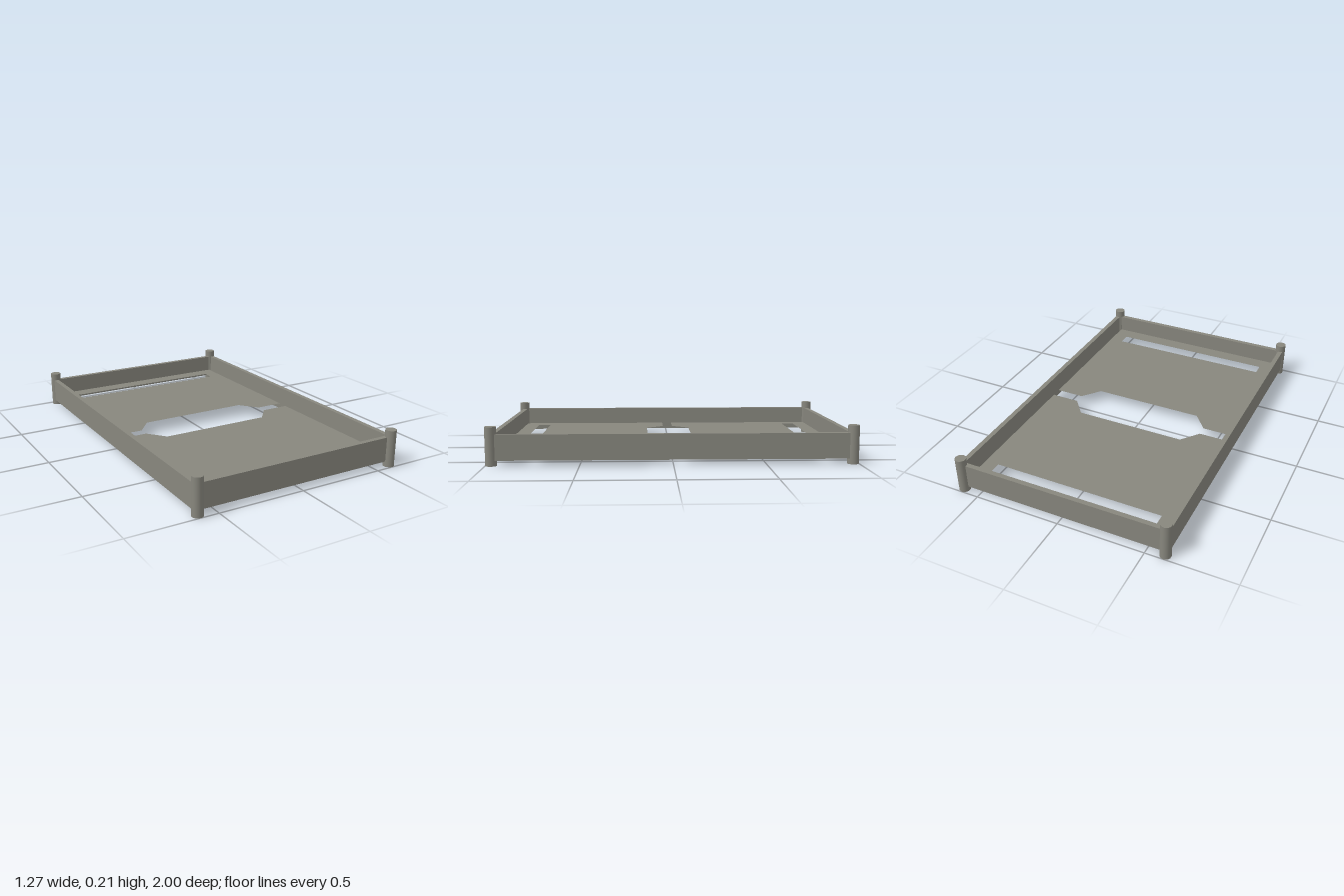
import * as THREE from 'three';

const W = 0.602; // post centre in x
const L = 0.969; // post centre in z
const metal = new THREE.MeshStandardMaterial({ color: 0x87867d, side: THREE.DoubleSide });
metal.name = 'warm grey metal';

function add(group, name, geometry, x, y, z) {
  const mesh = new THREE.Mesh(geometry, metal);
  mesh.name = name;
  mesh.position.set(x, y, z);
  group.add(mesh);
  return mesh;
}

// Half floor of thin sheet: notched towards the middle, slotted near the end wall
function floorGeometry() {
  const s = new THREE.Shape();
  [[-0.583, 0.03], [-0.415, 0.03], [-0.33, 0.135], [0.33, 0.135], [0.415, 0.03],
    [0.583, 0.03], [0.583, 0.945], [-0.583, 0.945]]
    .forEach(([x, y], i) => (i ? s.lineTo(x, y) : s.moveTo(x, y)));
  s.closePath();
  const slot = new THREE.Path();
  slot.moveTo(-0.5, 0.784);
  slot.lineTo(-0.5, 0.858);
  slot.lineTo(0.5, 0.858);
  slot.lineTo(0.5, 0.784);
  slot.closePath();
  s.holes.push(slot);
  return new THREE.ShapeGeometry(s).rotateX(Math.PI / 2); // shape y becomes +z
}

export function createModel() {
  const group = new THREE.Group();
  group.name = 'tray';

  // Corner posts
  const post = new THREE.CylinderGeometry(0.031, 0.031, 0.21, 20);
  for (const x of [-W, W]) for (const z of [-L, L]) add(group, 'cornerPost', post, x, 0.105, z);

  // Side and end walls
  const side = new THREE.BoxGeometry(0.028, 0.14, 2 * L);
  const end = new THREE.BoxGeometry(2 * W, 0.14, 0.028);
  for (const s of [-1, 1]) {
    add(group, 'sideWall', side, s * 0.608, 0.1, 0);
    add(group, 'endWall', end, 0, 0.1, s * 0.961);
  }

  // Two mirrored floor panels
  const floor = floorGeometry();
  add(group, 'floorFront', floor, 0, 0.07, 0);
  add(group, 'floorBack', floor, 0, 0.07, 0).rotation.y = Math.PI;
  return group;
}
